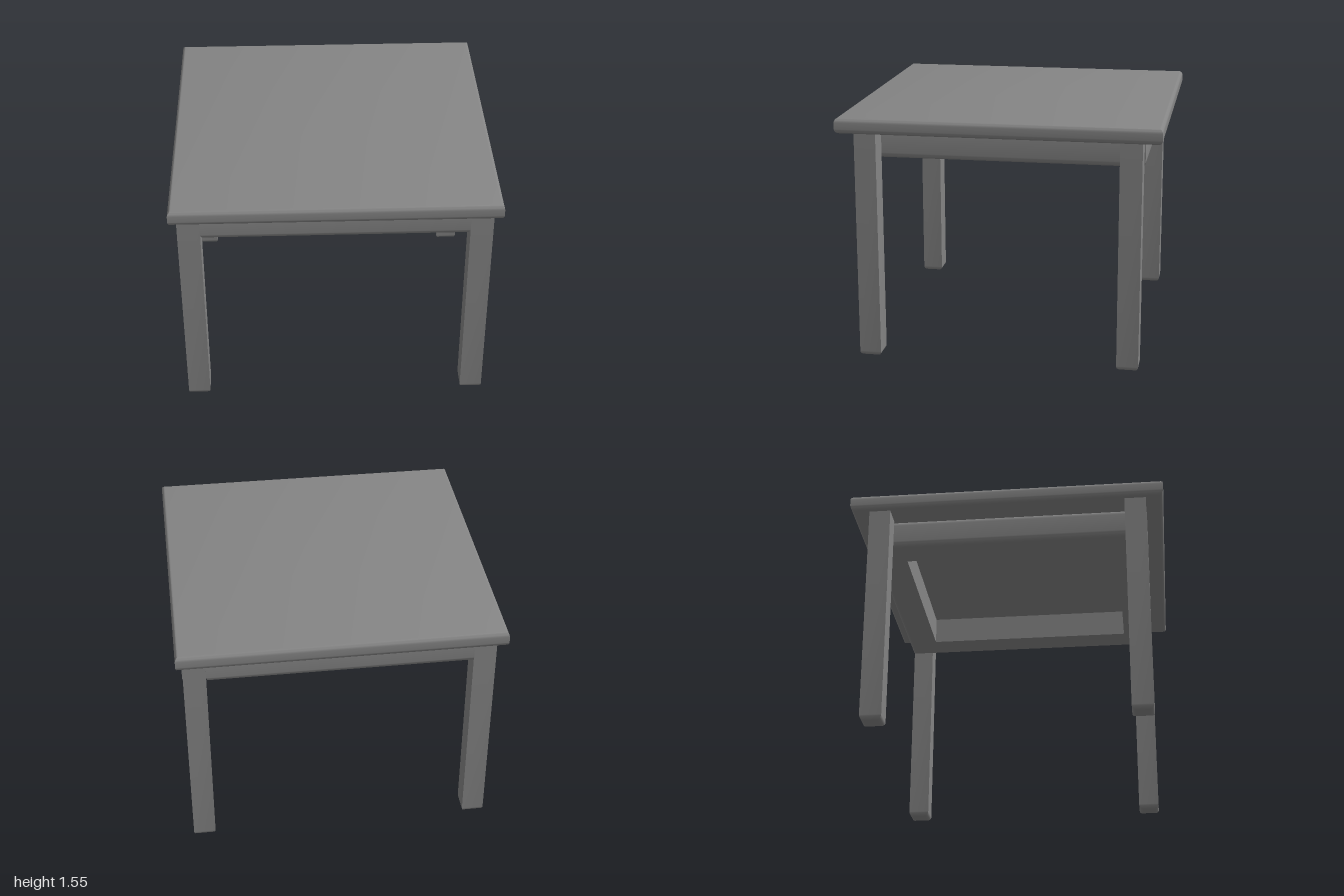
import * as THREE from 'three';
import { toCreasedNormals } from 'three/addons/utils/BufferGeometryUtils.js';

const material = new THREE.MeshStandardMaterial({ color: 0x858585 });

// Sweeps a profile of [halfX, halfZ, y] rows around a rectangle with mitred corners
function rectSweep(profile) {
  const corners = [[1, 1], [1, -1], [-1, -1], [-1, 1]];
  const positions = [];
  const index = [];
  for (const [hx, hz, y] of profile) {
    for (const [sx, sz] of corners) positions.push(hx * sx, y, hz * sz);
  }
  for (let i = 0; i < profile.length - 1; i++) {
    for (let k = 0; k < 4; k++) {
      const a = i * 4 + k, b = i * 4 + (k + 1) % 4;
      index.push(a, b, b + 4, a, b + 4, a + 4);
    }
  }
  const geometry = new THREE.BufferGeometry();
  geometry.setAttribute('position', new THREE.Float32BufferAttribute(positions, 3));
  geometry.setIndex(index);
  return toCreasedNormals(geometry, 0.6);
}

// Outer wall from bottom to top, with rounded lower and upper edges
function roundedWall(hx, hz, y0, y1, rBottom, rTop) {
  const rows = [];
  const arc = (r, cy, from) => {
    const steps = r > 0 ? 6 : 0;
    for (let i = 0; i <= steps; i++) {
      const t = from + (steps ? i / steps : 0) * Math.PI / 2;
      const inset = r * (1 - Math.cos(t));
      rows.push([hx - inset, hz - inset, cy + r * Math.sin(t)]);
    }
  };
  arc(rBottom, y0 + rBottom, -Math.PI / 2);
  arc(rTop, y1 - rTop, 0);
  return rows;
}

// Closed block with flat ends
function block(hx, hz, y0, y1, rBottom, rTop) {
  return rectSweep([[0, 0, y0], ...roundedWall(hx, hz, y0, y1, rBottom, rTop), [0, 0, y1]]);
}

export function createModel() {
  const group = new THREE.Group();
  const add = (name, geometry, x = 0, z = 0) => {
    const mesh = new THREE.Mesh(geometry, material);
    mesh.name = name;
    mesh.position.set(x, 0, z);
    group.add(mesh);
  };

  add('tableTop', block(1, 1, 1.446, 1.546, 0.03, 0.03));

  // Apron frame, open in the middle
  const innerX = 0.61, innerZ = 0.69;
  add('apron', rectSweep([
    [innerX, innerZ, 1.264],
    ...roundedWall(0.82, 0.89, 1.264, 1.448, 0.035, 0.035),
    [innerX, innerZ, 1.448],
    [innerX, innerZ, 1.264],
  ]), 0, 0.002);

  // Four square legs with rounded feet
  const leg = block(0.07, 0.068, 0, 1.448, 0.03, 0);
  for (const [side, x] of [['Left', 0.89], ['Right', -0.89]]) {
    add(`front${side}Leg`, leg, x, 0.821);
    add(`back${side}Leg`, leg, x, -0.813);
  }
  return group;
}
